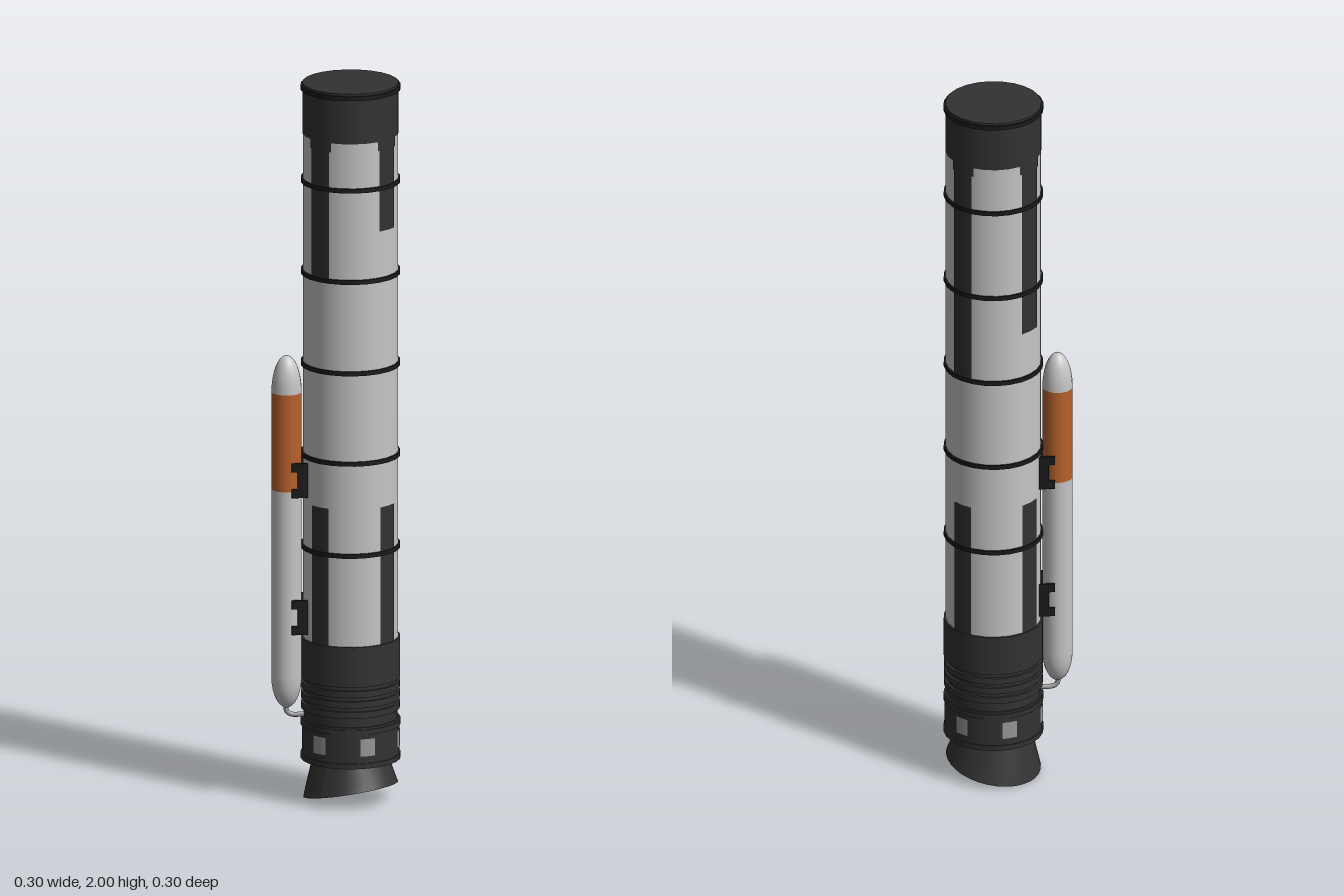
import * as THREE from 'three';

const mat = (name, color, side = THREE.FrontSide) => {
  const m = new THREE.MeshStandardMaterial({ color, side });
  m.name = name;
  return m;
};

export function createModel() {
  const white = mat('white paint', 0xc6c6c6);
  const dark = mat('dark grey', 0x323232);
  const darkOpen = mat('nozzle grey', 0x343434, THREE.DoubleSide);
  const black = mat('black', 0x1a1a1a);
  const orange = mat('orange', 0xb8622c);
  const grey = mat('mid grey', 0x999999);

  const model = new THREE.Group();
  model.name = 'rocketBooster';
  const core = new THREE.Group();
  core.name = 'core';
  core.position.set(0.012, 0, -0.015);
  model.add(core);

  const SIDES = 24, R = 0.129;
  const add = (parent, name, geo, material) => {
    const m = new THREE.Mesh(geo, material);
    m.name = name;
    parent.add(m);
    return m;
  };
  // vertical cylinder between two heights
  const tube = (parent, name, r, y0, y1, material, sides = SIDES, open = false) => {
    const m = add(parent, name, new THREE.CylinderGeometry(r, r, y1 - y0, sides, 1, open), material);
    m.position.y = (y0 + y1) / 2;
    return m;
  };
  // thin painted patch wrapped on a cylinder, centred on an angle
  const patch = (name, r, y0, y1, angle, width, material) => {
    const a = width / r;
    const geo = new THREE.CylinderGeometry(r, r, y1 - y0, 2, 1, true, angle - a / 2, a);
    add(core, name, geo, material).position.y = (y0 + y1) / 2;
  };

  // main body and top
  tube(core, 'body', R, 0.45, 1.86, white);
  tube(core, 'topSection', R + 0.001, 1.86, 2.0, dark);
  tube(core, 'topRing', 0.1355, 1.982, 1.994, black);
  for (const y of [1.73, 1.475, 1.22, 0.968, 0.711]) {
    tube(core, 'jointRing', 0.1345, y - 0.006, y + 0.006, black);
  }

  // painted stripes, one per quarter: front, left, back, right
  [1.478, 1.61, 1.225, 1.355].forEach((end, i) => {
    const a = i * Math.PI / 2;
    patch('upperStripe', R + 0.002, end, 1.862, a, 0.062, dark);
    patch('stripeFlare', R + 0.0021, 1.835, 1.862, a, 0.074, dark);
    patch('lowerStripe', R + 0.002, 0.45, 0.84, a, 0.058, dark);
  });

  // aft section with ribs
  tube(core, 'aftCollar', 0.1345, 0.345, 0.457, dark);
  tube(core, 'ribCore', 0.127, 0.22, 0.35, dark);
  for (const y of [0.325, 0.296, 0.267]) {
    tube(core, 'rib', 0.134, y - 0.009, y + 0.009, dark);
  }
  tube(core, 'aftSkirt', 0.132, 0.118, 0.232, dark);
  tube(core, 'skirtTopRim', 0.1355, 0.212, 0.226, dark);
  tube(core, 'skirtBottomRim', 0.1355, 0.118, 0.132, dark);
  for (let i = 0; i < 6; i++) {
    patch('skirtWindow', 0.1335, 0.152, 0.2, i * Math.PI / 3, 0.042, grey);
  }

  // flared nozzle cut at a slant
  const nozzleGeo = new THREE.CylinderGeometry(0.101, 0.128, 0.125, 32, 4, true);
  nozzleGeo.translate(0, 0.0625, 0);
  const p = nozzleGeo.attributes.position;
  for (let i = 0; i < p.count; i++) {
    const lift = 0.0275 + 0.215 * p.getX(i);
    p.setY(i, p.getY(i) + lift * (1 - p.getY(i) / 0.125));
  }
  nozzleGeo.computeVertexNormals();
  add(core, 'nozzle', nozzleGeo, darkOpen);

  // side tank, local +x points away from the core
  const side = new THREE.Group();
  side.name = 'sideTank';
  side.position.set(-0.11, 0, 0.108);
  side.rotation.y = -Math.PI * 3 / 4;
  model.add(side);
  const TR = 0.041;
  tube(side, 'tankBody', TR, 0.345, 0.87, white, 20, true);
  tube(side, 'tankBand', TR, 0.87, 1.14, orange, 20, true);
  const dome = (name, y, h) => {
    const pts = [];
    for (let i = 0; i <= 8; i++) {
      const a = i / 8 * Math.PI / 2;
      pts.push(new THREE.Vector2(TR * Math.cos(a), h * Math.sin(a)));
    }
    if (h < 0) pts.reverse();
    add(side, name, new THREE.LatheGeometry(pts, 20), white).position.y = y;
  };
  dome('tankNose', 1.14, 0.102);
  dome('tankTail', 0.345, -0.085);

  // C-shaped clamps on both sides of the tank
  const c = new THREE.Shape([
    [-0.06, -0.048], [-0.01, -0.048], [-0.01, -0.024], [-0.026, -0.024],
    [-0.026, 0.024], [-0.01, 0.024], [-0.01, 0.048], [-0.06, 0.048],
  ].map(([x, y]) => new THREE.Vector2(x, y)));
  const clampGeo = new THREE.ExtrudeGeometry(c, { depth: 0.007, bevelEnabled: false });
  for (const y of [0.902, 0.52]) {
    for (const z of [-0.0445, 0.0375]) {
      add(side, 'clamp', clampGeo, black).position.set(0, y, z);
    }
  }

  // feed pipe from the tank tail to the core
  const pipe = new THREE.CatmullRomCurve3([
    new THREE.Vector3(0, 0.275, 0), new THREE.Vector3(0, 0.25, 0),
    new THREE.Vector3(-0.012, 0.241, 0), new THREE.Vector3(-0.05, 0.24, 0),
  ]);
  add(side, 'feedPipe', new THREE.TubeGeometry(pipe, 12, 0.007, 8), grey);

  return model;
}
